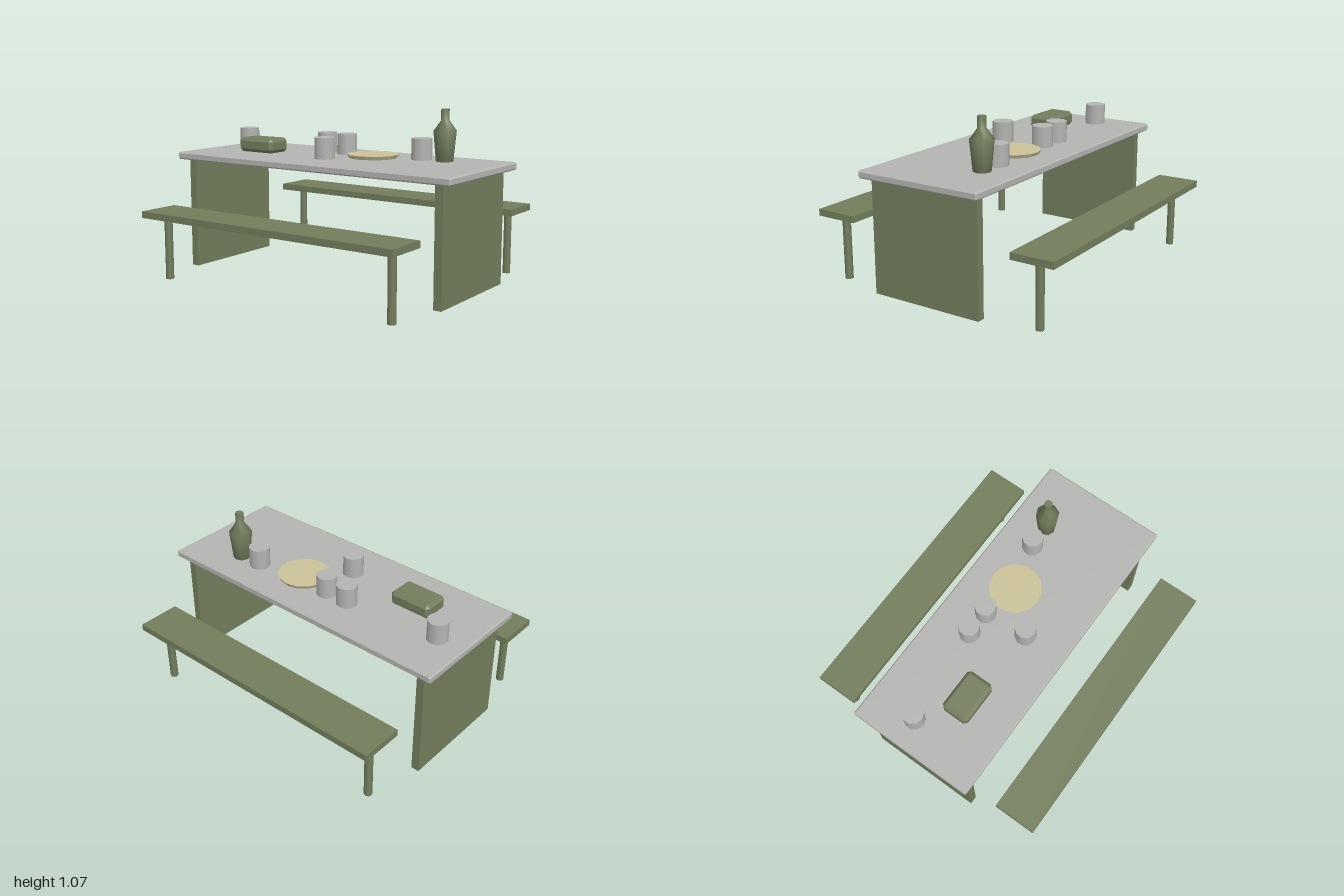
import * as THREE from 'three';
import { ConvexGeometry } from 'three/addons/geometries/ConvexGeometry.js';

const mat = (name, color) => {
  const m = new THREE.MeshStandardMaterial({ color });
  m.name = name;
  return m;
};

// Box with every edge and corner cut off by b
function chamferBox(w, h, d, b) {
  const pts = [];
  for (const sx of [-1, 1]) for (const sy of [-1, 1]) for (const sz of [-1, 1]) {
    const x = w / 2, y = h / 2, z = d / 2;
    pts.push(
      new THREE.Vector3(sx * x, sy * (y - b), sz * (z - b)),
      new THREE.Vector3(sx * (x - b), sy * y, sz * (z - b)),
      new THREE.Vector3(sx * (x - b), sy * (y - b), sz * z)
    );
  }
  return new ConvexGeometry(pts);
}

export function createModel() {
  const group = new THREE.Group();
  const olive = mat('olive', 0x737d5c);
  const grey = mat('grey', 0xb4b4b2);
  const cream = mat('cream', 0xcac197);

  const add = (name, geometry, material, x, y, z) => {
    const mesh = new THREE.Mesh(geometry, material);
    mesh.name = name;
    mesh.position.set(x, y, z);
    group.add(mesh);
    return mesh;
  };

  // Table: bevelled top on two slab supports
  add('tableTop', chamferBox(2, 0.046, 0.81, 0.008), grey, 0, 0.733, 0);
  for (const s of [-1, 1]) {
    add('tableSupport', new THREE.BoxGeometry(0.05, 0.702, 0.726), olive, s * 0.91, 0.361, 0);
  }

  // Benches, each on two round legs
  for (const sz of [-1, 1]) {
    add('benchSeat', new THREE.BoxGeometry(1.815, 0.041, 0.27), olive, 0, 0.416, sz * 0.681);
    for (const sx of [-1, 1]) {
      add('benchLeg', new THREE.CylinderGeometry(0.025, 0.025, 0.396, 8), olive, sx * 0.82, 0.198, sz * 0.681);
    }
  }

  // Cups
  const cup = new THREE.CylinderGeometry(0.065, 0.065, 0.131, 10);
  for (const [x, z] of [[-0.82, -0.093], [-0.21, -0.152], [-0.052, -0.148], [-0.027, 0.127], [0.477, -0.18]]) {
    add('cup', cup, grey, x, 0.821, z);
  }

  // Plate and bevelled box
  add('plate', new THREE.CylinderGeometry(0.162, 0.15, 0.022, 14), cream, 0.18, 0.767, -0.095);
  add('lunchBox', chamferBox(0.272, 0.09, 0.176, 0.02), olive, -0.547, 0.806, 0.087);

  // Bottle: tapered body, shoulder and neck, with closed ends
  const profile = [[0, 0], [0.054, 0], [0.072, 0.183], [0.026, 0.245], [0.026, 0.314]]
    .map(([r, y]) => new THREE.Vector2(r, y));
  add('bottle', new THREE.LatheGeometry(profile, 8), olive, 0.634, 0.756, -0.183);
  const cap = new THREE.CircleGeometry(0.026, 8).rotateX(-Math.PI / 2);
  add('bottleTop', cap, olive, 0.634, 1.07, -0.183);

  return group;
}
